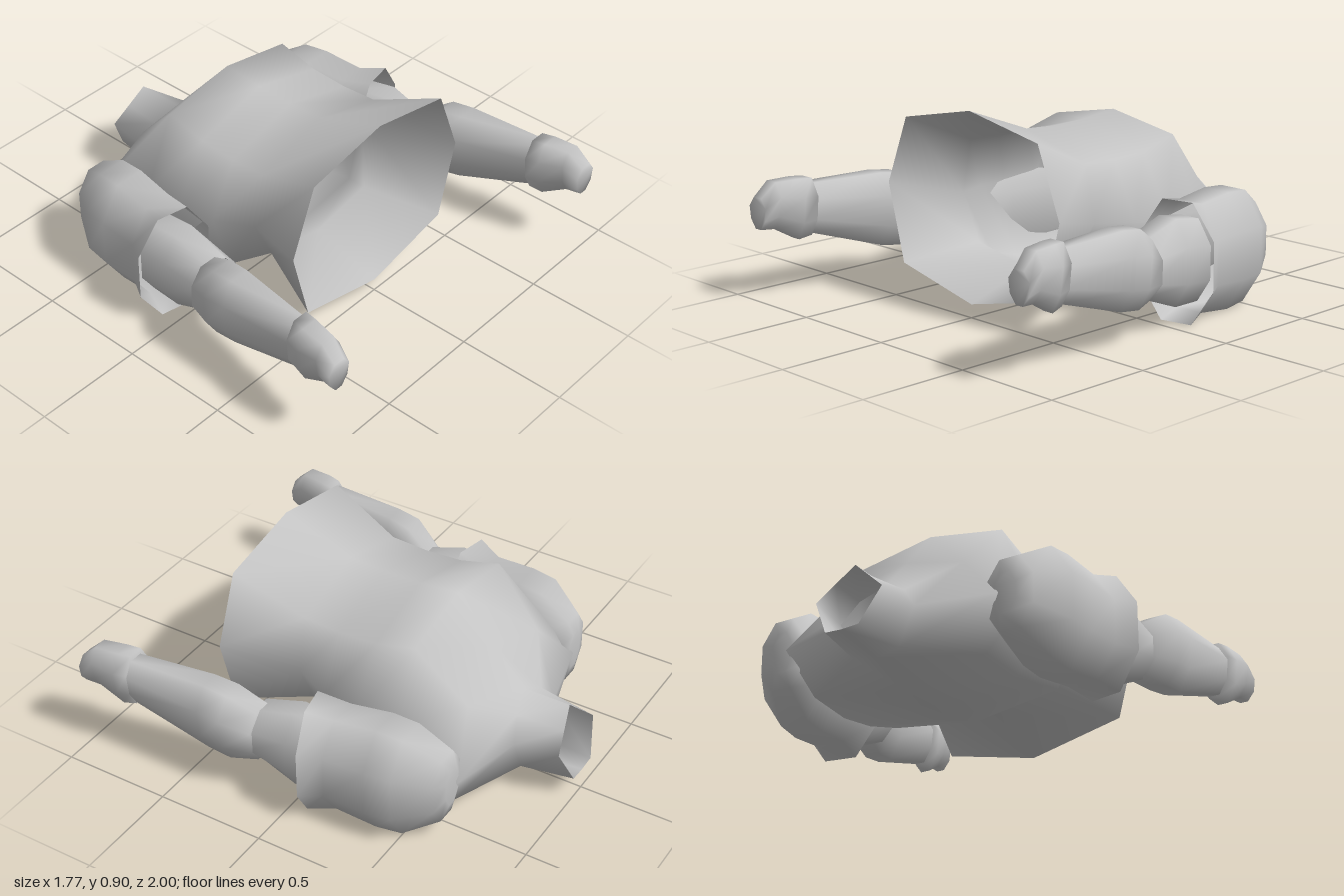
import * as THREE from 'three';

const shell = new THREE.MeshStandardMaterial({ color: 0xc4c4c4, side: THREE.DoubleSide });
shell.name = 'paleGrey';

// Skins a list of equal-sized rings (counter-clockwise seen from +z, running back to front)
function loft(name, rings, capBack = false, capFront = false) {
  const n = rings[0].length;
  const pos = rings.flat(2);
  const idx = [];
  for (let i = 0; i < rings.length - 1; i++) {
    for (let j = 0; j < n; j++) {
      const a = i * n + j, b = i * n + (j + 1) % n;
      idx.push(a, b, a + n, b, b + n, a + n);
    }
  }
  const last = (rings.length - 1) * n;
  for (let j = 1; j < n - 1; j++) {
    if (capBack) idx.push(0, j + 1, j);
    if (capFront) idx.push(last, last + j, last + j + 1);
  }
  const g = new THREE.BufferGeometry();
  g.setAttribute('position', new THREE.Float32BufferAttribute(pos, 3));
  g.setIndex(idx);
  g.computeVertexNormals();
  const mesh = new THREE.Mesh(g, shell);
  mesh.name = name;
  return mesh;
}

// Eight-sided limb ring; slant pushes the outer side back, taper narrows the underside
function limbRing(s, [z, cx, cy, rx, ry, slant = 0, taper = 0]) {
  const ring = [];
  for (let j = 0; j < 8; j++) {
    const a = (j + 0.5) * Math.PI / 4;
    const c = Math.cos(a) / 0.924, d = Math.sin(a) / 0.924;
    ring.push([s * cx + c * rx * (1 + taper * (d - 1) / 2), cy + d * ry, z - slant * c * s]);
  }
  return ring;
}

// Half a body ring from top centre to bottom centre, completed by mirroring
function bodyRing(half) {
  const left = half.slice(1, -1).reverse();
  return [half[0], ...half.slice(1, -1).map(([x, y, z]) => [-x, y, z]), half[half.length - 1], ...left];
}

// z, centre x, centre y, half width, half height, slant, taper
const sleeve = [
  [-0.67, 0.55, 0.27, 0.05, 0.09],
  [-0.65, 0.56, 0.27, 0.11, 0.16],
  [-0.50, 0.60, 0.27, 0.165, 0.25],
  [-0.38, 0.61, 0.27, 0.17, 0.26],
  [-0.19, 0.63, 0.275, 0.16, 0.24],
  [-0.06, 0.67, 0.28, 0.175, 0.265, 0.035],
];
const upperArm = [
  [-0.15, 0.66, 0.28, 0.12, 0.18],
  [0.0, 0.67, 0.295, 0.12, 0.19],
  [0.20, 0.67, 0.30, 0.11, 0.12],
];
const forearm = [
  [0.17, 0.70, 0.305, 0.10, 0.125],
  [0.29, 0.74, 0.335, 0.12, 0.17, 0, 0.2],
  [0.40, 0.75, 0.35, 0.112, 0.17, 0, 0.25],
  [0.78, 0.79, 0.41, 0.078, 0.11, 0, 0.3],
];
const hand = [
  [0.76, 0.785, 0.415, 0.088, 0.13, 0, 0.3],
  [0.82, 0.798, 0.41, 0.094, 0.138, 0, 0.4],
  [0.93, 0.815, 0.44, 0.08, 0.105, 0, 0.4],
  [1.0, 0.825, 0.41, 0.065, 0.07, 0, 0.3],
];

export function createModel() {
  const model = new THREE.Group();
  model.name = 'upperBody';

  // Level torso sections: z, top y, upper corner, side, lower corner, bottom y
  const level = [
    [-0.37, 0.805, 0.36, 0.74, 0.51, 0.42, 0.43, 0.05, 0.01],
    [-0.18, 0.785, 0.36, 0.69, 0.515, 0.42, 0.43, 0.08, 0.02],
    [0.0, 0.78, 0.36, 0.68, 0.49, 0.43, 0.41, 0.13, 0.07],
    [0.17, 0.79, 0.36, 0.69, 0.41, 0.44, 0.31, 0.23, 0.17],
    [0.5, 0.91, 0.41, 0.83, 0.535, 0.52, 0.44, 0.17, 0.07],
  ].map(([z, t, ux, uy, sx, sy, lx, ly, b]) =>
    bodyRing([[0, t, z], [ux, uy, z], [sx, sy, z], [lx, ly, z], [0, b, z]]));

  // Open neck, its base, and the sloping shoulders
  const neck = bodyRing([[0, 0.43, -0.92], [0.08, 0.355, -0.94], [0.16, 0.28, -0.96], [0.08, 0.115, -1], [0, 0.11, -1]]);
  const neckBase = bodyRing([[0, 0.43, -0.7], [0.11, 0.37, -0.73], [0.18, 0.27, -0.76], [0.11, 0.1, -0.76], [0, 0.08, -0.76]]);
  const shoulders = bodyRing([[0, 0.6, -0.55], [0.31, 0.5, -0.6], [0.52, 0.27, -0.68], [0.42, 0.06, -0.6], [0, 0.02, -0.55]]);
  model.add(loft('torso', [neck, neckBase, shoulders, ...level]));

  // Arms reaching forward
  for (const s of [1, -1]) {
    const arm = new THREE.Group();
    arm.name = s > 0 ? 'leftArm' : 'rightArm';
    const rings = (rows) => rows.map((r) => limbRing(s, r));
    arm.add(
      loft('sleeve', rings(sleeve), true),
      loft('upperArm', rings(upperArm)),
      loft('forearm', rings(forearm), true),
      loft('hand', rings(hand), true, true),
    );
    model.add(arm);
  }
  return model;
}
